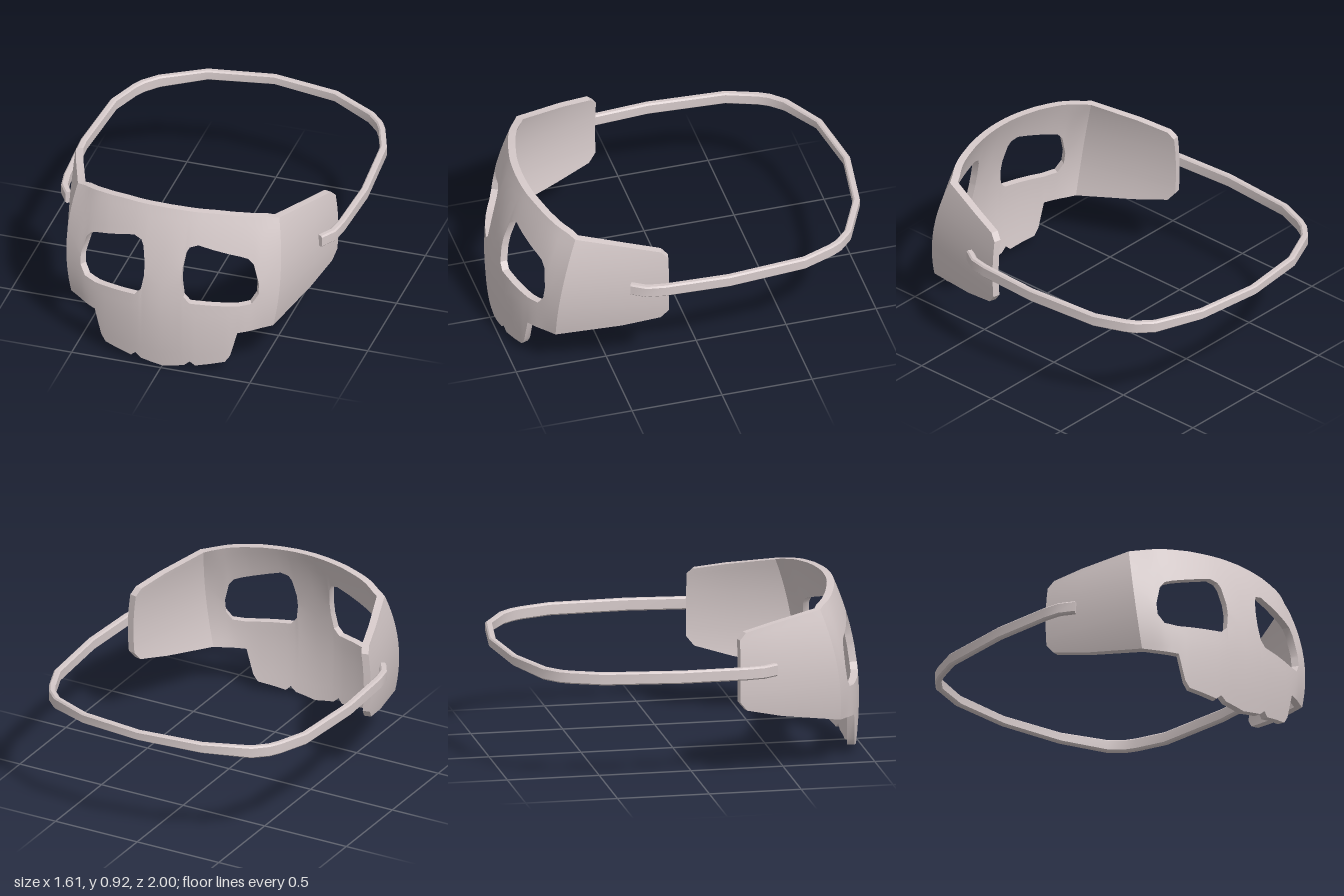
import * as THREE from 'three';
import { toCreasedNormals } from 'three/addons/utils/BufferGeometryUtils.js';

const V = (x, y, z) => new THREE.Vector3(x, y, z);
const { lerp, clamp, smoothstep } = THREE.MathUtils;

// Geometry from a list of four-cornered faces, smooth except at sharp edges
function quadGeometry(quads) {
  const pos = [];
  for (const [a, b, c, d] of quads) {
    for (const p of [a, b, c, a, c, d]) pos.push(p.x, p.y, p.z);
  }
  const g = new THREE.BufferGeometry();
  g.setAttribute('position', new THREE.Float32BufferAttribute(pos, 3));
  return toCreasedNormals(g, 0.5);
}

// Outward horizontal normals along a path, lengthened at bends
function pathNormals(path) {
  const dir = (a, b) => new THREE.Vector2(b.x - a.x, b.z - a.z).normalize();
  return path.map((p, i) => {
    const before = i > 0 ? dir(path[i - 1], p) : dir(p, path[1]);
    const after = i < path.length - 1 ? dir(p, path[i + 1]) : before;
    const t = before.clone().add(after).normalize();
    return V(-t.y, 0, t.x).divideScalar(Math.max(0.6, t.dot(before)));
  });
}

// Half outlines of the mask as (x, y) points, from the centre to the side
const BOTTOM = [[0, 0.01], [0.12, 0.032], [0.153, 0.06], [0.18, 0.035], [0.335, 0.065], [0.362, 0.105],
  [0.4, 0.25], [0.6, 0.268], [0.69, 0.332], [0.736, 0.385], [0.745, 0.435]];
const EYE_BOTTOM = [[0, 0.47], [0.105, 0.55], [0.12, 0.465], [0.153, 0.43], [0.4, 0.415], [0.47, 0.425], [0.5, 0.475]];
const EYE_TOP = [[0, 0.7], [0.105, 0.62], [0.12, 0.715], [0.136, 0.745], [0.18, 0.76], [0.4, 0.7],
  [0.44, 0.685], [0.47, 0.65], [0.5, 0.54], [0.6, 0.68]];
const TOP = [[0, 0.933], [0.06, 0.933], [0.26, 0.926], [0.4, 0.912], [0.54, 0.892], [0.6, 0.88],
  [0.69, 0.842], [0.736, 0.812], [0.745, 0.775]];
const OUTLINES = [BOTTOM, EYE_BOTTOM, EYE_TOP, TOP];

// Height of an outline at x
function heightAt(outline, x) {
  const k = outline.findIndex((p) => p[0] >= x);
  if (k < 0) return outline[outline.length - 1][1];
  if (k === 0) return outline[0][1];
  const [a, b] = [outline[k - 1], outline[k]];
  return lerp(a[1], b[1], (x - a[0]) / (b[0] - a[0]));
}

// Plan of the mask: a curved front, then side panels running back
function planDepth(x) {
  const d = x - 0.6;
  return d <= 0 ? 0.995 - 0.54 * x * x : 0.8 - 3.4 * d - 4.1 * d * d;
}

// Leans the brow back and draws the side panels in at top and bottom
function bend(x, y, z) {
  const lean = y > 0.3 ? 0.135 * ((y - 0.3) / 0.63) ** 2 : 0.02 * ((0.3 - y) / 0.3) ** 2;
  const fade = clamp((z - 0.22) / 0.6, 0, 1);
  const q = Math.min(1, Math.abs(y - 0.57) / 0.31);
  const side = smoothstep(Math.abs(x), 0.4, 0.6);
  return V(x - Math.sign(x) * 0.035 * q * q * side, y, z - lean * fade);
}

function maskGeometry() {
  const thickness = 0.04, bands = [6, 4, 5];
  const half = [...new Set(OUTLINES.flat().map((p) => p[0]))].sort((a, b) => a - b);
  const xs = [...half.slice(1).reverse().map((x) => -x), ...half];
  const normals = pathNormals(xs.map((x) => V(x, 0, planDepth(Math.abs(x)))));

  // Rows run through three bands: below, across and above the eyes
  const outer = xs.map((x) => {
    const ax = Math.abs(x), levels = OUTLINES.map((o) => heightAt(o, ax)), column = [];
    bands.forEach((n, b) => {
      for (let k = b ? 1 : 0; k <= n; k++) {
        column.push(bend(x, lerp(levels[b], levels[b + 1], k / n), planDepth(ax)));
      }
    });
    return column;
  });
  const inner = outer.map((col, i) => col.map((p) => p.clone().addScaledVector(normals[i], -thickness)));

  const rows = bands[0] + bands[1] + bands[2];
  const filled = (i, j) => {
    if (i < 0 || j < 0 || i >= xs.length - 1 || j >= rows) return false;
    const middle = Math.abs(xs[i] + xs[i + 1]) / 2;
    const eyeRow = j >= bands[0] && j < bands[0] + bands[1];
    return !(eyeRow && middle > 0.105 && middle < 0.5);
  };
  const quads = [];
  for (let i = 0; i < xs.length - 1; i++) {
    for (let j = 0; j < rows; j++) {
      if (!filled(i, j)) continue;
      const corners = [[i, j], [i + 1, j], [i + 1, j + 1], [i, j + 1]];
      const neighbours = [[i, j - 1], [i + 1, j], [i, j + 1], [i - 1, j]];
      quads.push(corners.map(([u, v]) => outer[u][v]));
      quads.push(corners.map(([u, v]) => inner[u][v]).reverse());
      // Rim wall wherever the sheet ends
      neighbours.forEach(([u, v], e) => {
        if (filled(u, v)) return;
        const [a, b] = [corners[e], corners[(e + 1) % 4]];
        quads.push([outer[a[0]][a[1]], inner[a[0]][a[1]], inner[b[0]][b[1]], outer[b[0]][b[1]]]);
      });
    }
  }
  return quadGeometry(quads);
}

// Head strap: a chamfered band swept round the back, rising and narrowing behind
function strapGeometry() {
  const plan = [[0.705, 0.42], [0.752, 0.345], [0.769, 0.25], [0.788, -0.1], [0.757, -0.525],
    [0.695, -0.69], [0.664, -0.745], [0.595, -0.815], [0.36, -0.932]];
  const back = (z) => Math.max(0, -z - 0.8) / 0.2;
  const half = plan.map(([x, z]) => V(x, 0.604 - 0.01 * z + 0.03 * back(z), z));
  const path = [...half, V(0, 0.641, -0.982), ...half.slice().reverse().map((p) => V(-p.x, p.y, p.z))];
  const normals = pathNormals(path);

  // Cross-section, corner by corner
  const w = 0.018, h = 0.034, c = 0.008, section = [];
  for (const [su, sv] of [[1, 1], [-1, 1], [-1, -1], [1, -1]]) {
    const pair = [[su * w, sv * (h - c)], [su * (w - c), sv * h]];
    section.push(...(su * sv > 0 ? pair : pair.reverse()));
  }
  const rings = path.map((p, i) => section.map(([u, v]) =>
    p.clone().addScaledVector(normals[i], u).add(V(0, v * (1 - 0.25 * back(p.z)), 0))));

  const quads = [];
  for (let i = 0; i < rings.length - 1; i++) {
    for (let k = 0; k < 8; k++) {
      const m = (k + 1) % 8;
      quads.push([rings[i][k], rings[i + 1][k], rings[i + 1][m], rings[i][m]]);
    }
  }
  // End caps
  const cap = (r) => [[r[0], r[1], r[2], r[3]], [r[0], r[3], r[4], r[7]], [r[7], r[4], r[5], r[6]]];
  quads.push(...cap(rings[0]));
  quads.push(...cap(rings[rings.length - 1]).map((q) => q.reverse()));
  return quadGeometry(quads);
}

export function createModel() {
  const model = new THREE.Group();
  model.name = 'faceMask';
  const paleGrey = new THREE.MeshStandardMaterial({ color: 0xd6caca });
  paleGrey.name = 'pale warm grey';
  const add = (name, geometry) => {
    const mesh = new THREE.Mesh(geometry, paleGrey);
    mesh.name = name;
    model.add(mesh);
  };
  add('maskShell', maskGeometry());
  add('headStrap', strapGeometry());
  return model;
}
